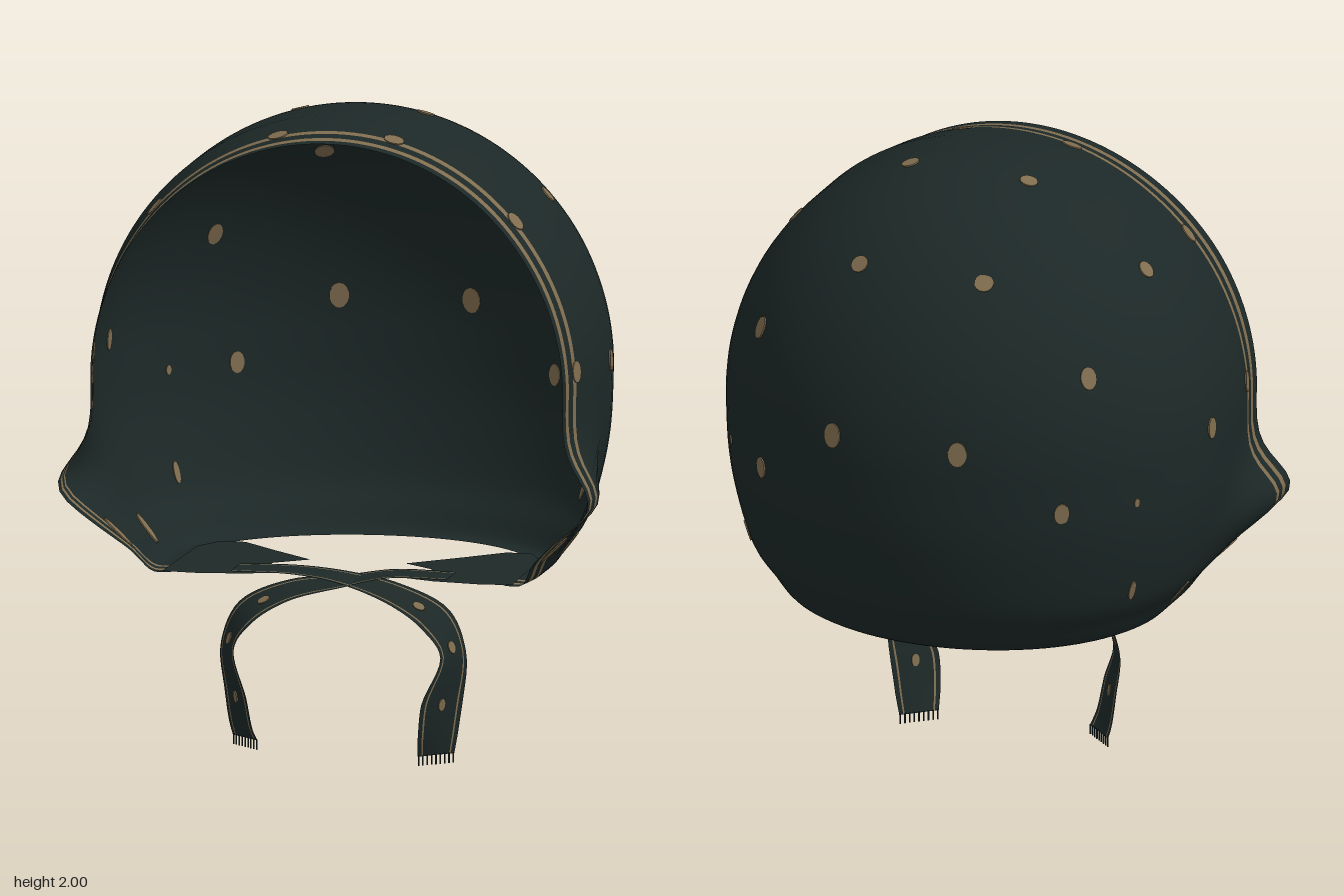
import * as THREE from 'three';
import { mergeVertices } from 'three/addons/utils/BufferGeometryUtils.js';

const { smoothstep, lerp } = THREE.MathUtils;
const cloth = new THREE.MeshStandardMaterial({ color: 0x1c2827, side: THREE.DoubleSide });
cloth.name = 'dark teal cloth';
const gold = new THREE.MeshStandardMaterial({ color: 0x806d4f, side: THREE.DoubleSide });
gold.name = 'dull gold print';

const bump = (y, mid, w) => Math.exp(-(((y - mid) / w) ** 2));

// Lower side profile: (width factor, height), from the turned-in rim to the widest level
const lower = new THREE.SplineCurve([
  [0.68, 0.576], [0.76, 0.58], [0.83, 0.65], [0.9, 0.73], [0.955, 0.87], [0.99, 1.02], [1, 1.2],
].map(p => new THREE.Vector2(...p)));

// Hood surface: u runs from one front edge (-2) round the back (0) to the other (2),
// t runs from the rim (0) to the crown (1)
function hood(u, t) {
  let s, y;
  if (t < 0.4) {
    const p = lower.getPoint(t / 0.4);
    s = p.x; y = p.y;
  } else {
    const a = (t - 0.4) / 0.6 * Math.PI / 2;
    s = Math.cos(a); y = 1.2 + 0.8 * Math.sin(a);
  }
  const back = 0.1, side = Math.sign(u), f = Math.abs(u) - 1;
  const front = 0.535 + 0.05 * bump(y, 0.86, 0.12) - 0.18 * (1 - smoothstep(y, 0.5, 0.76))
    - 0.015 * smoothstep(y, 1.6, 2);
  let x, z;
  if (f <= 0) {
    x = 0.79 * s * Math.sin(u * Math.PI / 2);
    z = back - 0.685 * s * Math.cos(u * Math.PI / 2);
  } else {
    x = 0.79 * s * side;
    z = f > 0.5 ? front - (1 - f) * 0.3 : lerp(back, front - 0.15, f * 2);
  }
  // the opening draws in slightly, with a flare at the cheeks
  const k = 1 - 0.06 * smoothstep(z, 0.25, 0.54);
  x = x * k + side * 0.125 * bump(y, 0.86, 0.12) * smoothstep(z, 0.15, 0.5);
  if (y > 1.2) y = 1.2 + (y - 1.2) * k;
  return new THREE.Vector3(x, y, z);
}

// Grid surface over columns us and rows vs; columns picked by isGold get the print colour
function grid(name, fn, us, vs, isGold) {
  const pos = [], idx = [], geo = new THREE.BufferGeometry();
  const n = vs.length;
  us.forEach(u => vs.forEach(v => pos.push(...fn(u, v).toArray())));
  for (let i = 0; i < us.length - 1; i++) {
    geo.addGroup(idx.length, (n - 1) * 6, isGold((us[i] + us[i + 1]) / 2) ? 1 : 0);
    for (let j = 0; j < n - 1; j++) {
      const a = i * n + j, c = a + n;
      idx.push(a, a + 1, c, c, a + 1, c + 1);
    }
  }
  geo.setAttribute('position', new THREE.Float32BufferAttribute(pos, 3));
  geo.setIndex(idx);
  const merged = mergeVertices(geo, 1e-5);
  merged.computeVertexNormals();
  const mesh = new THREE.Mesh(merged, [cloth, gold]);
  mesh.name = name;
  return mesh;
}

const steps = (n, a, b) => Array.from({ length: n + 1 }, (_, i) => lerp(a, b, i / n));

// Small thin printed disc lying in the surface spanned by two directions
function disc(centre, along, up, w, h) {
  const out = up.clone().cross(along).normalize();
  const geo = new THREE.CylinderGeometry(1, 1, 0.007, 14);
  geo.scale(w, 1, h);
  geo.applyMatrix4(new THREE.Matrix4().makeBasis(along, out, along.clone().cross(out)));
  const mesh = new THREE.Mesh(geo, gold);
  mesh.position.copy(centre);
  mesh.name = 'spot';
  return mesh;
}

// Spot on the hood at the surface point nearest to the target, showing on both faces
function spot(target, w, h) {
  let best = Infinity, bu = 0, bt = 0;
  for (const u of steps(160, -1.95, 1.95)) {
    for (const t of steps(80, 0.02, 0.98)) {
      const d = hood(u, t).distanceToSquared(target);
      if (d < best) { best = d; bu = u; bt = t; }
    }
  }
  const e = 0.01;
  const along = hood(bu + e, bt).sub(hood(bu - e, bt)).normalize();
  const up = hood(bu, bt + e).sub(hood(bu, bt - e));
  return disc(hood(bu, bt), along, up, w, h);
}

// Ribbon tie: centre points and matching half-width vectors
function tie(side, drop) {
  const flip = p => new THREE.Vector3(p[0] * side, p[1], p[2]);
  const mid = new THREE.CatmullRomCurve3([
    [-0.34, 0.582, 0.3], [-0.15, 0.58, 0.29], [0, 0.558 + side * 0.006, 0.3], [0.17, 0.52, 0.32],
    [0.3, 0.45, 0.34], [0.355, 0.345, 0.345], [0.325, 0.2, 0.365], [0.31, 0.1, 0.355], [0.3, 0.03 + drop, 0.34],
  ].map(flip));
  const half = new THREE.CatmullRomCurve3([
    [0, 0, -0.07], [0, 0.005, -0.055], [0.005, 0.012, -0.045], [0.01, 0.025, -0.045],
    [0.03, 0.025, -0.05], [0.03, 0.005, -0.045], [0.05, 0, -0.07], [0.05, 0, -0.06], [0.048, 0, -0.042],
  ].map(flip));
  const at = (w, t) => mid.getPoint(t).addScaledVector(half.getPoint(t), w);
  const g = new THREE.Group();
  g.name = side > 0 ? 'leftTie' : 'rightTie';
  g.add(grid('ribbon', at, [-1, -0.8, -0.72, -0.3, 0, 0.3, 0.72, 0.8, 1], steps(48, 0, 1),
    w => Math.abs(w) > 0.72 && Math.abs(w) < 0.8));
  for (const t of [0.44, 0.6, 0.76]) {
    g.add(disc(at(0, t), half.getPoint(t).normalize(), mid.getTangent(t), 0.014, 0.02));
  }
  // frayed end
  for (const w of steps(8, -0.95, 0.95)) {
    const thread = new THREE.Mesh(new THREE.BoxGeometry(0.004, 0.032, 0.004), cloth);
    thread.position.copy(at(w, 1)).y -= 0.013;
    thread.name = 'thread';
    g.add(thread);
  }
  return g;
}

// Flat panel turned in under the chin, with a pointed inner corner
function chinFlap(side) {
  const s = new THREE.Shape([
    [0.54, -0.05], [0.49, -0.15], [0.41, -0.15], [0.3, -0.04], [0.15, 0.1], [0.25, 0.18],
    [0.26, 0.24], [0.14, 0.27], [0.14, 0.32], [0.3, 0.38], [0.45, 0.4], [0.55, 0.39],
  ].map(p => new THREE.Vector2(p[0] * side, p[1])));
  const geo = new THREE.ShapeGeometry(s);
  geo.rotateX(Math.PI / 2);
  const mesh = new THREE.Mesh(geo, cloth);
  mesh.position.y = 0.578;
  mesh.name = side > 0 ? 'leftChinFlap' : 'rightChinFlap';
  return mesh;
}

export function createModel() {
  const model = new THREE.Group();
  model.name = 'bonnet';

  // hood with two printed stripes along the front edge
  const edge = [1.15, 1.3, 1.5, 1.62, 1.69, 1.8, 1.88, 1.94, 2];
  const us = [...edge.map(u => -u).reverse(), ...steps(44, -1, 1), ...edge];
  const striped = u => {
    const a = Math.abs(u);
    return (a > 1.62 && a < 1.69) || (a > 1.8 && a < 1.88);
  };
  model.add(grid('hood', hood, us, steps(70, 0, 1), striped));

  // printed spots: x, y, z, half width, half height
  const spots = new THREE.Group();
  spots.name = 'spots';
  const list = [
    [0.21, 1.28, -0.55, 0.03, 0.04], [0.21, 1.79, -0.36, 0.03, 0.028], [0.57, 1.51, -0.35, 0.026, 0.036],
    [0.5, 1.1, -0.43, 0.024, 0.034], [0.6, 1.74, 0.03, 0.028, 0.028], [0.2, 1.98, 0.03, 0.028, 0.028],
    [0.79, 1.24, 0.07, 0.026, 0.034], [0.18, 1.95, 0.405, 0.028, 0.032], [0.56, 1.72, 0.41, 0.028, 0.032],
    [0.76, 1.26, 0.42, 0.028, 0.034], [0.69, 0.7, 0.41, 0.025, 0.06], [0.64, 0.67, 0.11, 0.022, 0.055],
    [0.68, 0.77, -0.24, 0.012, 0.035], [0.71, 1.1, -0.26, 0.01, 0.015],
  ];
  for (const [x, y, z, w, h] of list) {
    for (const side of [-1, 1]) spots.add(spot(new THREE.Vector3(x * side, y, z), w, h));
  }
  model.add(spots);

  for (const side of [-1, 1]) model.add(chinFlap(side), tie(side, side > 0 ? 0 : 0.03));
  return model;
}
